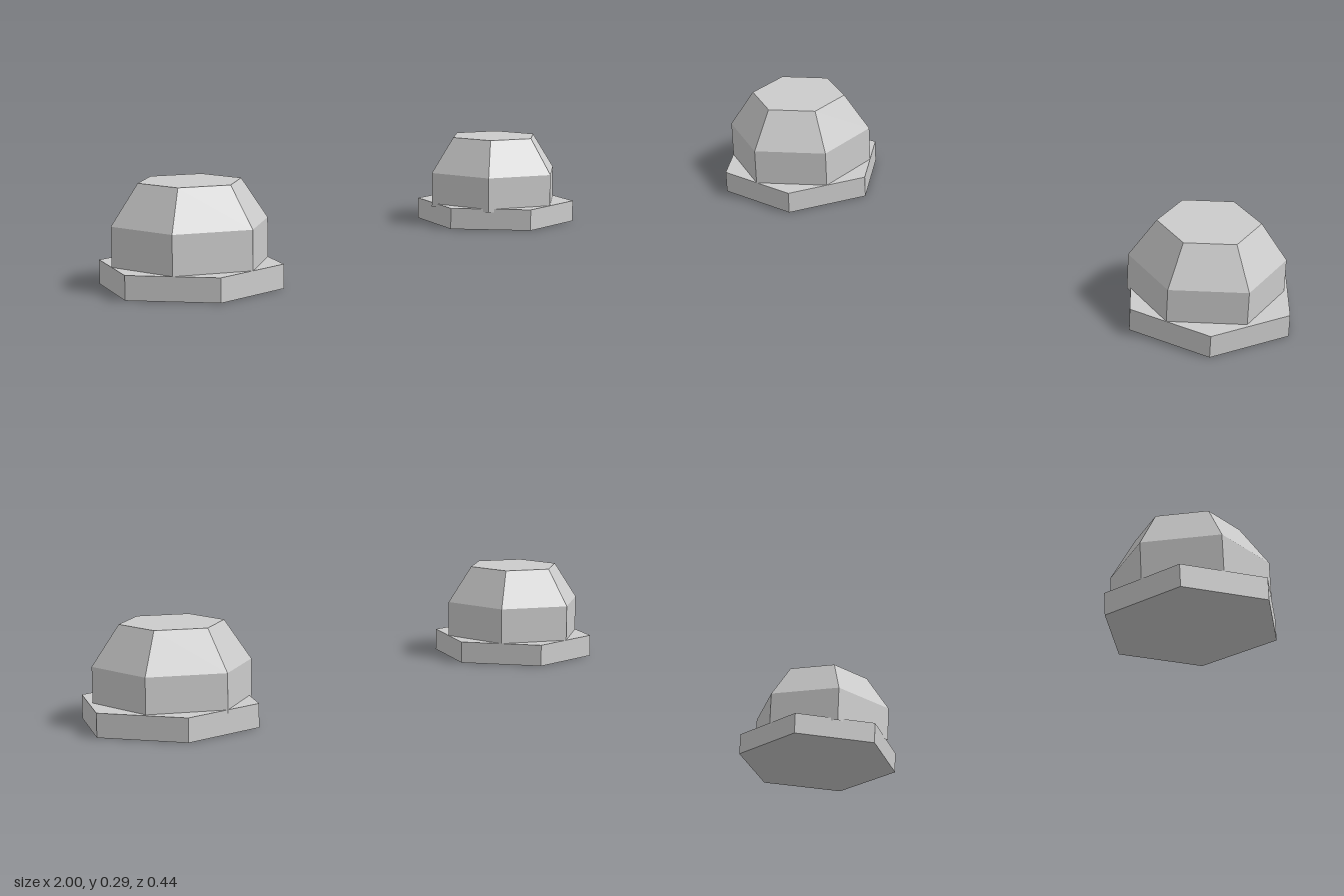
import * as THREE from 'three';

const material = new THREE.MeshStandardMaterial({ color: 0xcccccc, flatShading: true });

// Hexagonal prism or frustum, standing on y = bottom, corners on the z axis
function hexPart(name, rTop, rBottom, bottom, top, openEnded = false) {
  const geometry = new THREE.CylinderGeometry(rTop, rBottom, top - bottom, 6, 1, openEnded);
  geometry.translate(0, (top + bottom) / 2, 0);
  const mesh = new THREE.Mesh(geometry, material);
  mesh.name = name;
  return mesh;
}

// Faceted cap: straight sides, sloping shoulder, flat top
function hexCap() {
  const profile = [[0.222, 0], [0.222, 0.11], [0.146, 0.223], [0, 0.223]]
    .map(([r, y]) => new THREE.Vector2(r, y));
  const mesh = new THREE.Mesh(new THREE.LatheGeometry(profile, 6), material);
  mesh.name = 'cap';
  return mesh;
}

// Flat hexagonal base with the cap seated on it
function hexBolt(name, x, capOffset) {
  const bolt = new THREE.Group();
  bolt.name = name;
  bolt.position.x = x;
  const base = hexPart('base', 0.256, 0.256, 0, 0.067);
  base.rotation.y = Math.PI / 6;
  const cap = hexCap();
  cap.position.set(...capOffset);
  bolt.add(base, cap);
  return bolt;
}

export function createModel() {
  const model = new THREE.Group();
  model.name = 'boltPair';
  // The left cap sits slightly lower and off centre
  model.add(
    hexBolt('rightBolt', -0.744, [0, 0.067, 0]),
    hexBolt('leftBolt', 0.744, [-0.012, 0.057, -0.001]),
  );
  return model;
}
